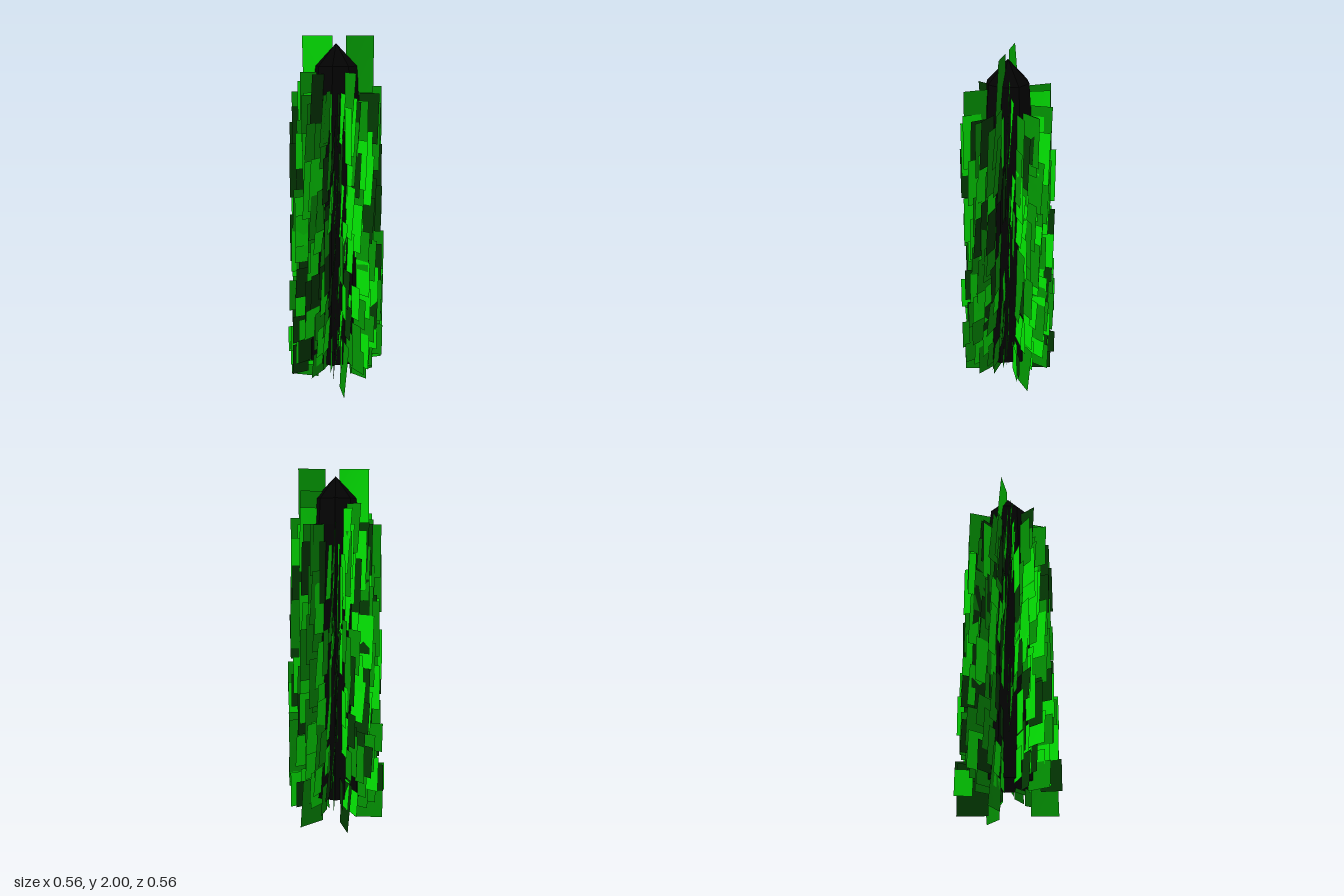
import * as THREE from 'three';
import { mergeGeometries } from 'three/addons/utils/BufferGeometryUtils.js';

// Small seeded generator so the foliage is always the same
function seeded(seed) {
  let s = seed;
  return () => {
    s = (s * 1664525 + 1013904223) % 4294967296;
    return s / 4294967296;
  };
}

// Upright radial leaf, twisted around the trunk axis as it rises;
// angle runs from +x towards +z, twist is in radians per unit of height
function leaf(angle, inner, outer, bottom, top, twist = 0.35) {
  const g = new THREE.PlaneGeometry(outer - inner, top - bottom);
  const p = g.attributes.position;
  for (let i = 0; i < p.count; i++) {
    const r = p.getX(i) + (inner + outer) / 2;
    const a = angle - twist * p.getY(i);
    p.setXYZ(i, r * Math.cos(a), p.getY(i) + (bottom + top) / 2, r * Math.sin(a));
  }
  g.computeVertexNormals();
  return g;
}

export function createModel() {
  const group = new THREE.Group();
  group.name = 'columnarTree';

  // Dark inner body: tapering column with a pointed cap
  const profile = [[0, 0.16], [0.175, 0.16], [0.15, 0.9], [0.125, 1.7], [0.115, 1.84], [0, 1.96]]
    .map(([r, y]) => new THREE.Vector2(r, y));
  const core = new THREE.Mesh(
    new THREE.LatheGeometry(profile, 8, Math.PI / 8),
    new THREE.MeshStandardMaterial({ color: 0x030303, flatShading: true })
  );
  core.name = 'innerBody';
  group.add(core);

  // Leaves sorted into three greens
  const greens = [0x02e402, 0x029402, 0x023a02];
  const bins = greens.map(() => []);
  const rand = seeded(41);
  const range = (a, b) => a + (b - a) * rand();

  const count = 310;
  for (let i = 0; i < count; i++) {
    const t = (i + 0.5) / count;
    const angle = i * 2.39996 + range(-0.15, 0.15);
    const height = range(0.11, 0.2) + 0.17 * t;
    const bottom = 0.05 + 1.36 * Math.pow(t, 1.15) + range(0, 0.06);
    const outer = (0.29 - 0.035 * t) - 0.075 * Math.pow(rand(), 1.4);
    const inner = outer - range(0.09, 0.15);
    const top = Math.min(bottom + height, 1.7);
    bins[Math.floor(rand() * 2.5)].push(leaf(angle, inner, outer, bottom, top, range(-0.05, 0.4)));
  }

  // Ring of taller leaves below the crown
  for (let i = 0; i < 12; i++) {
    const outer = range(0.2, 0.25);
    bins[i % 3].push(leaf(i * Math.PI / 6 + range(-0.15, 0.15), outer - 0.13, outer, 1.44, range(1.66, 1.81)));
  }

  // Leaves that stick out at the crown
  bins[0].push(leaf(Math.PI + 0.38, 0.02, 0.185, 1.7, 2, 0.45));
  bins[1].push(leaf(0.38, 0.055, 0.205, 1.7, 2, 0.3));
  bins[1].push(leaf(0.1, 0.08, 0.2, 1.6, 1.88));
  bins[1].push(leaf(-1.75, 0.08, 0.24, 1.55, 1.81));
  bins[1].push(leaf(1.4, 0.11, 0.24, 1.5, 1.81));
  bins[1].push(leaf(Math.PI, 0.09, 0.2, 1.52, 1.81));

  // Leaves that reach the ground
  bins[1].push(leaf(Math.PI + 0.4, 0.11, 0.275, 0, 0.32));
  bins[1].push(leaf(Math.PI / 2, 0.12, 0.265, 0, 0.3));
  bins[1].push(leaf(-0.4, 0.1, 0.265, 0, 0.28));
  bins[2].push(leaf(-1.5, 0.1, 0.265, 0, 0.27));

  bins.forEach((parts, i) => {
    const mesh = new THREE.Mesh(
      mergeGeometries(parts),
      new THREE.MeshStandardMaterial({ color: greens[i], side: THREE.DoubleSide })
    );
    mesh.name = ['brightLeaves', 'midLeaves', 'darkLeaves'][i];
    group.add(mesh);
  });

  return group;
}
